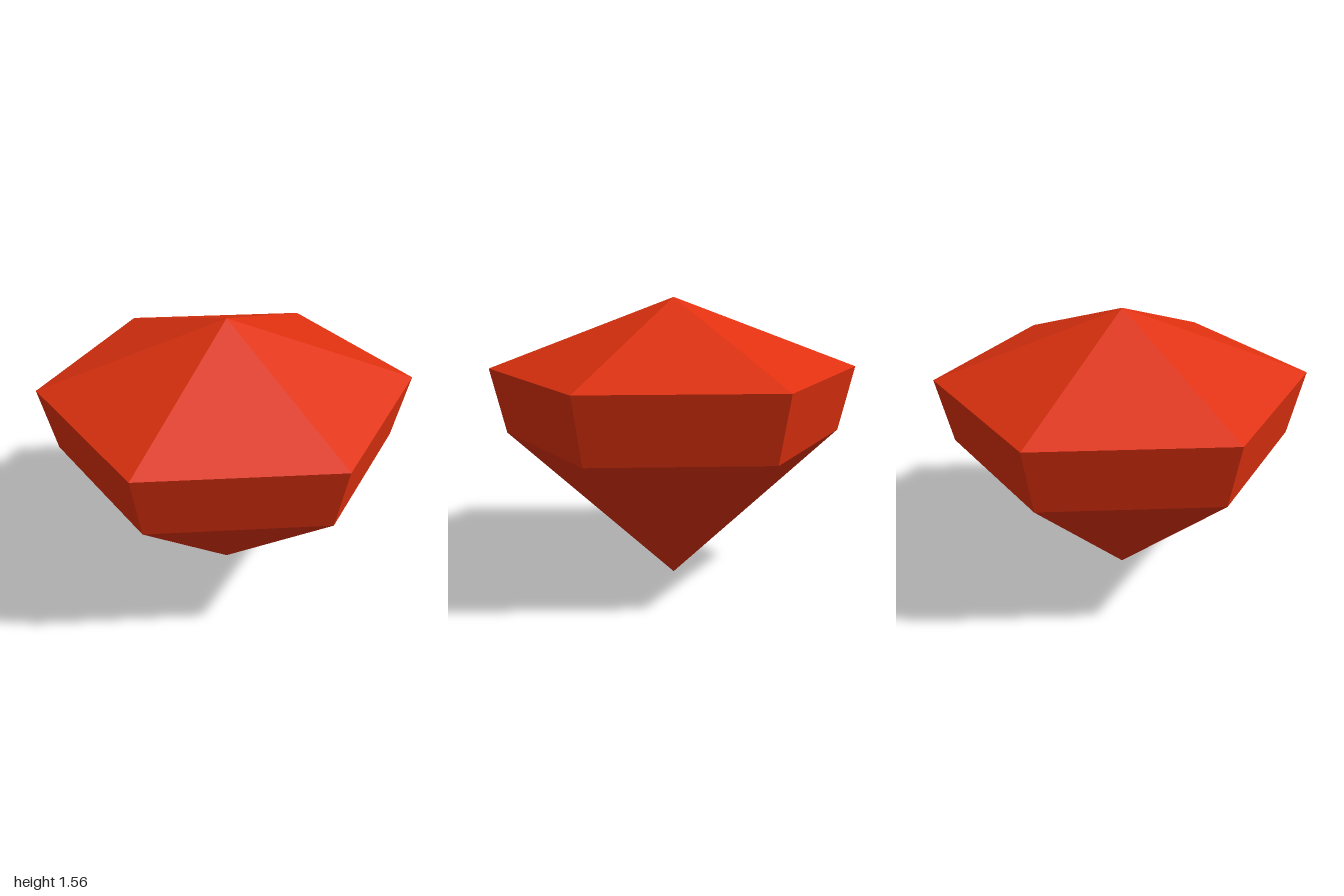
import * as THREE from 'three';

export function createModel() {
  const model = new THREE.Group();
  model.name = 'gem';

  const ruby = new THREE.MeshStandardMaterial({ color: 0xe0310f, flatShading: true });
  ruby.name = 'gemRed';

  // Six-sided open band between two heights, with corners on the z axis
  function addFacets(name, bottomRadius, bottomY, topRadius, topY) {
    const geometry = new THREE.CylinderGeometry(topRadius, bottomRadius, topY - bottomY, 6, 1, true);
    geometry.translate(0, (topY + bottomY) / 2, 0);
    const mesh = new THREE.Mesh(geometry, ruby);
    mesh.name = name;
    model.add(mesh);
  }

  addFacets('pavilion', 0, 0, 0.915, 0.825); // lower point
  addFacets('girdle', 0.915, 0.825, 1, 1.18); // flared belt
  addFacets('crown', 1, 1.18, 0, 1.56); // shallow top

  return model;
}
